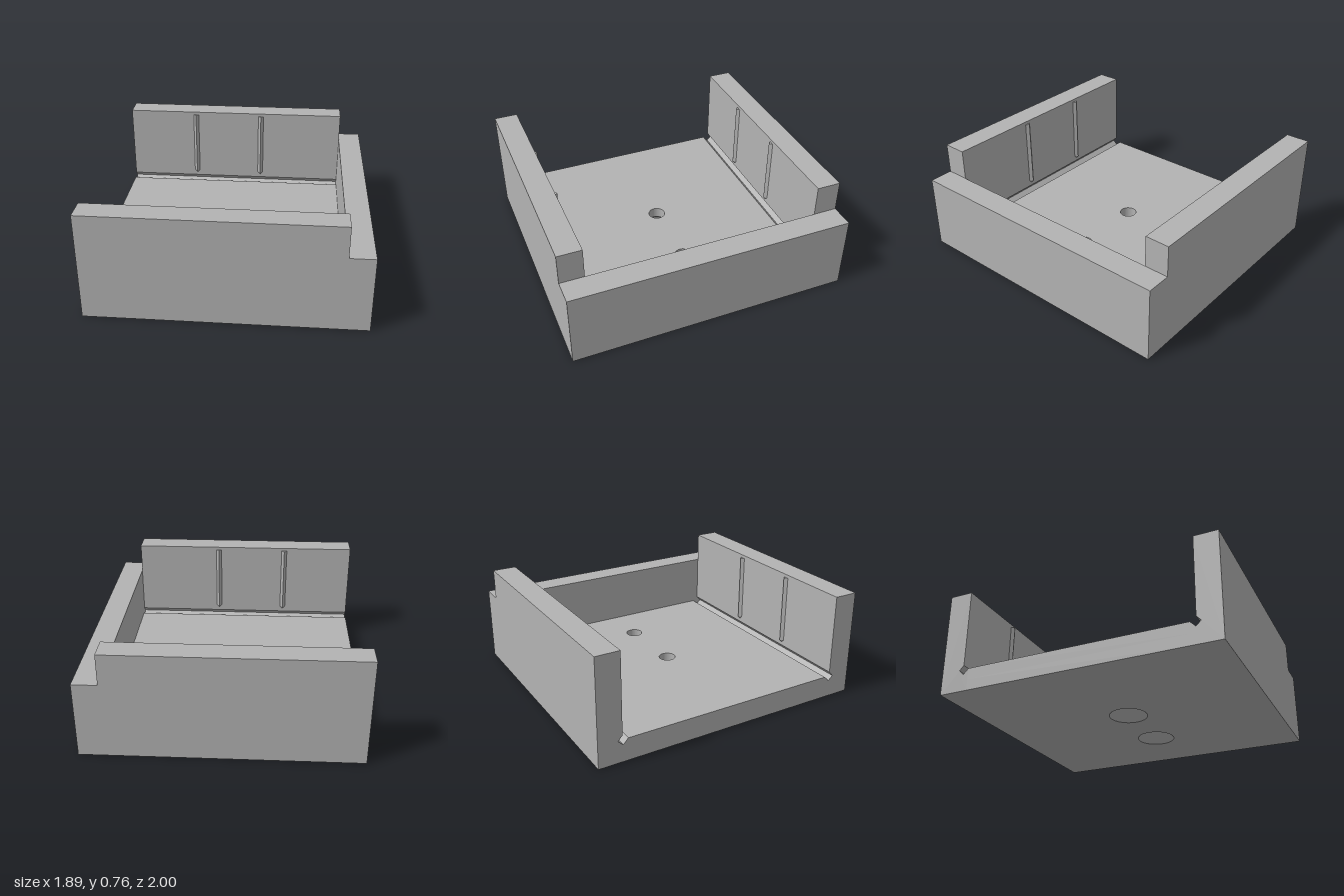
import * as THREE from 'three';

const X0 = -0.947, X1 = 0.775, X2 = 0.947; // open end, inner and outer face of the end wall
const FLOOR = 0.16, SINK = 0.08, TOP = 0.76, WALL = 0.83, EDGE = 0.79;
const HOLES = [-0.09, 0.425];

export function createModel() {
  const model = new THREE.Group();
  const grey = new THREE.MeshStandardMaterial({ color: 0xb3b3b3 });
  grey.name = 'plain grey';

  function add(name, geometry, x = 0, y = 0, z = 0) {
    const mesh = new THREE.Mesh(geometry, grey);
    mesh.name = name;
    mesh.position.set(x, y, z);
    model.add(mesh);
    return mesh;
  }

  // Faceted copy of a geometry
  function flat(geometry) {
    const g = geometry.toNonIndexed();
    g.computeVertexNormals();
    return g;
  }

  // Floor layer with round holes, extruded upwards
  function floorLayer(radius, height) {
    const shape = new THREE.Shape([
      new THREE.Vector2(X0, -EDGE), new THREE.Vector2(X1, -EDGE),
      new THREE.Vector2(X1, EDGE), new THREE.Vector2(X0, EDGE),
    ]);
    for (const x of HOLES) {
      shape.holes.push(new THREE.Path().absarc(x, 0, radius, 0, Math.PI * 2, true));
    }
    return new THREE.ExtrudeGeometry(shape, { depth: height, bevelEnabled: false, curveSegments: 32 })
      .rotateX(-Math.PI / 2);
  }
  add('floorLower', floorLayer(0.138, SINK));
  add('floorUpper', floorLayer(0.06, FLOOR - SINK), 0, SINK);

  // Countersinks, facing inwards
  for (const x of HOLES) {
    add('countersink', new THREE.LatheGeometry(
      [new THREE.Vector2(0.06, SINK), new THREE.Vector2(0.138, 0)], 48), x);
  }

  // Side walls with a diagonal relief slot in the inner corner
  const profile = [[EDGE, 0], [1, 0], [1, TOP], [WALL, TOP], [WALL, 0.19],
    [0.862, 0.155], [0.827, 0.122], [EDGE, FLOOR]];
  for (const s of [1, -1]) {
    const shape = new THREE.Shape(profile.map(([z, y]) => new THREE.Vector2(-s * z, y)));
    const wall = new THREE.ExtrudeGeometry(shape, { depth: X1 - X0, bevelEnabled: false })
      .rotateY(Math.PI / 2);
    add(s > 0 ? 'frontWall' : 'backWall', wall, X0);

    // Pointed ribs, half sunk into the wall
    for (const x of [-0.41, 0.127]) {
      add('rib', flat(new THREE.CylinderGeometry(0.021, 0.021, 0.5, 4)), x, 0.487, s * WALL);
      add('ribTip', flat(new THREE.ConeGeometry(0.021, 0.022, 4).rotateX(Math.PI)), x, 0.226, s * WALL);
    }
  }

  // Lower wall closing one end
  add('endWall', new THREE.BoxGeometry(X2 - X1, 0.54, 2), (X1 + X2) / 2, 0.27, 0);

  return model;
}
